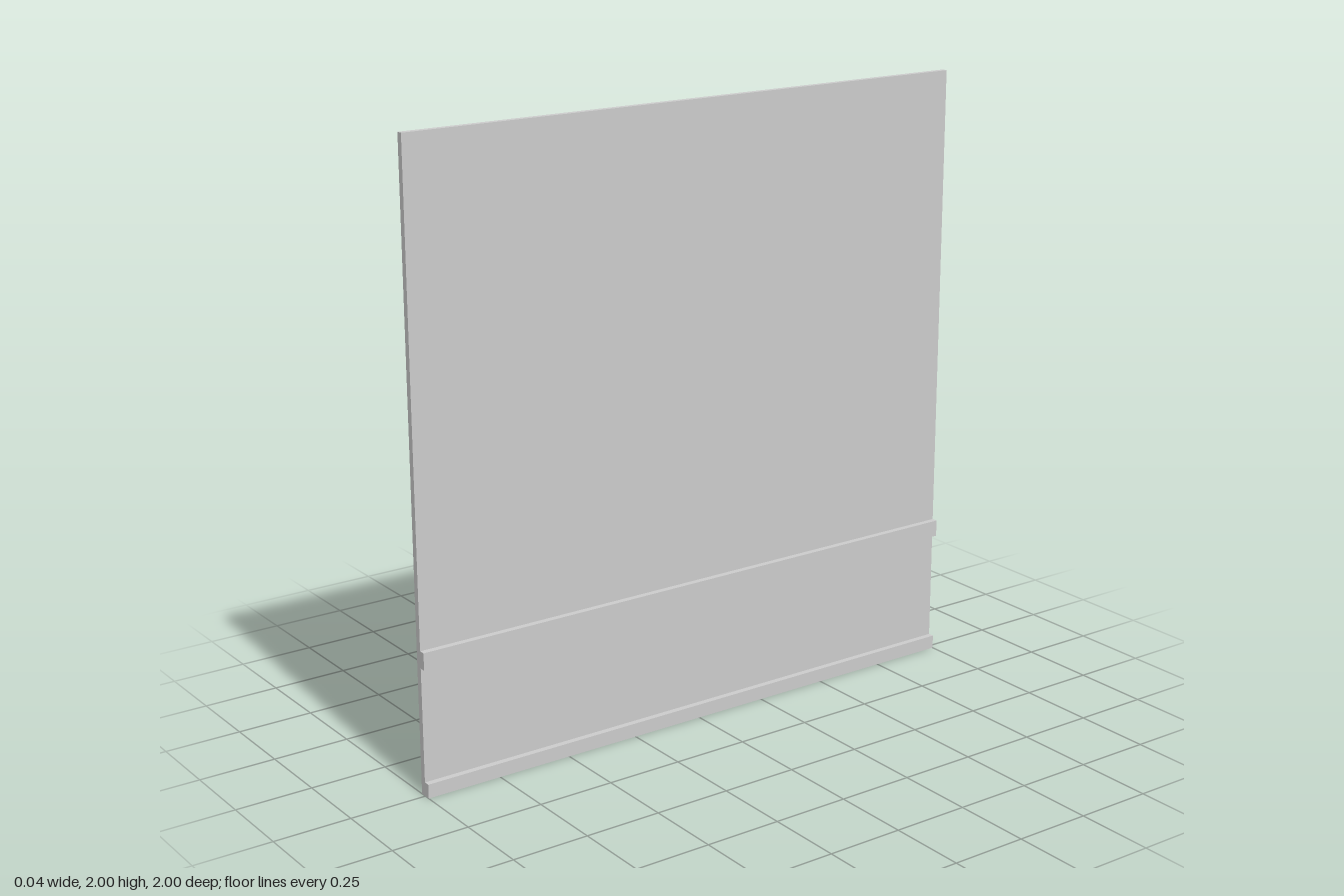
import * as THREE from 'three';

export function createModel() {
  const group = new THREE.Group();
  const material = new THREE.MeshStandardMaterial({ color: 0xcccccc, flatShading: true });
  const length = 2;

  // Box spanning the full length in z, given its x and y limits
  function addSlab(name, x0, x1, y0, y1) {
    const mesh = new THREE.Mesh(new THREE.BoxGeometry(x1 - x0, y1 - y0, length), material);
    mesh.position.set((x0 + x1) / 2, (y0 + y1) / 2, 0);
    mesh.name = name;
    group.add(mesh);
  }

  // Thin wall with two trim strips on its left (+x) face
  addSlab('wallPanel', -0.02, 0, 0, 2);
  addSlab('baseboard', 0, 0.02, 0, 0.045);
  addSlab('chairRail', 0, 0.02, 0.412, 0.467);

  return group;
}
